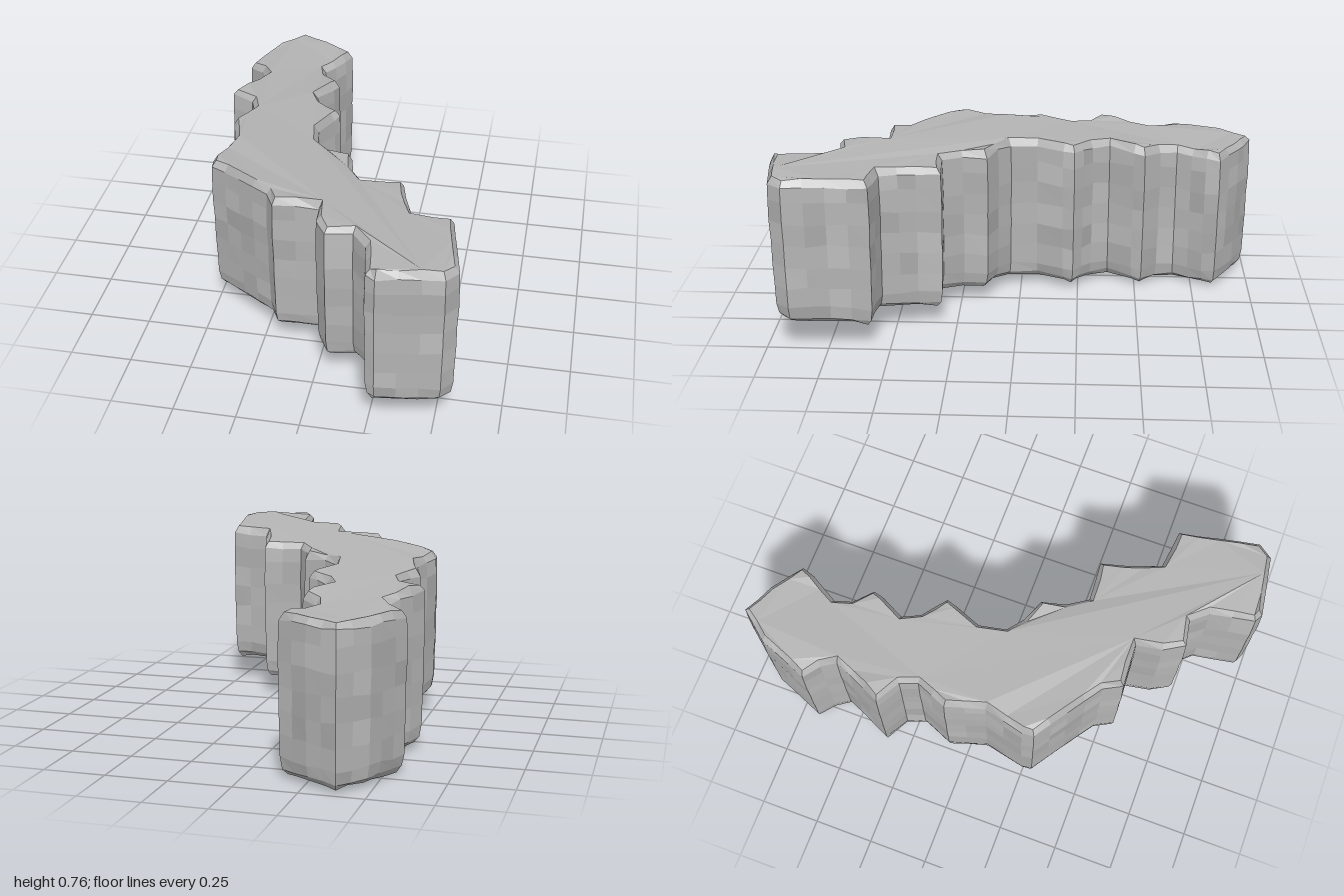
import * as THREE from 'three';

// Plan outline of the stepped rock wall, as x, z pairs
const OUTLINE = [
  -0.39, -1, -0.26, -0.94, -0.13, -0.85, -0.15, -0.79, -0.22, -0.67, -0.2, -0.6, -0.13, -0.53,
  -0.145, -0.48, -0.2, -0.38, -0.165, -0.31, -0.07, -0.23, -0.085, -0.18, -0.13, -0.07,
  -0.11, 0.04, -0.05, 0.09, 0.05, 0.13, 0.07, 0.23, 0.12, 0.31, 0.285, 0.3, 0.31, 0.4,
  0.355, 0.54, 0.515, 0.56, 0.575, 0.89, 0.53, 0.95, 0.28, 0.99, 0.24, 0.97, 0.21, 0.79,
  0.155, 0.725, 0.05, 0.745, 0, 0.66, -0.01, 0.555, -0.19, 0.565, -0.23, 0.49, -0.5, 0.3,
  -0.505, 0.25, -0.46, 0.08, -0.505, -0.08, -0.45, -0.21, -0.475, -0.28, -0.575, -0.34,
  -0.475, -0.555, -0.51, -0.61, -0.575, -0.665, -0.49, -0.88,
];

// Heights along z: [z, bottom, top]
const HEIGHTS = [
  [-1, 0.02, 0.635], [-0.66, 0.005, 0.63], [-0.5, 0.02, 0.655], [-0.3, 0.035, 0.67], [0, 0.045, 0.69],
  [0.15, 0.065, 0.695], [0.3, 0.09, 0.705], [0.57, 0.11, 0.73], [0.7, 0.135, 0.745], [1, 0.15, 0.755],
];

// Wall profile: [share of height, offset in y, inset]
const LEVELS = [
  [0, 0, 0.036], [0, 0.022, 0.016], [0, 0.07, 0.007], [0.25, 0, 0.006], [0.4, 0, 0.003],
  [0.55, 0, 0.004], [0.7, 0, 0], [0.85, 0, 0.002], [1, -0.03, 0.004], [1, 0, 0.024],
];

function heightAt(z, column) {
  let i = 1;
  while (i < HEIGHTS.length - 1 && z > HEIGHTS[i][0]) i++;
  const [a, b] = [HEIGHTS[i - 1], HEIGHTS[i]];
  const t = THREE.MathUtils.clamp((z - a[0]) / (b[0] - a[0]), 0, 1);
  return THREE.MathUtils.lerp(a[column], b[column], t);
}

function seeded(seed) {
  return () => {
    seed = (seed * 16807) % 2147483647;
    return seed / 2147483647;
  };
}

// Splits the long edges of the outline
function makeOutline() {
  const corners = [];
  for (let i = 0; i < OUTLINE.length; i += 2) corners.push(new THREE.Vector2(OUTLINE[i], OUTLINE[i + 1]));
  return corners.flatMap((p, i) => {
    const q = corners[(i + 1) % corners.length];
    const n = Math.max(1, Math.round(p.distanceTo(q) / 0.08));
    return Array.from({ length: n }, (_, k) => p.clone().lerp(q, k / n));
  });
}

function makeRings(outline, random) {
  const count = outline.length;
  return LEVELS.map(([share, offset, inset]) => outline.map((p, i) => {
    const before = outline[(i + count - 1) % count];
    const after = outline[(i + 1) % count];
    const d1 = p.clone().sub(before).normalize();
    const d2 = after.clone().sub(p).normalize();
    const d = d1.add(d2).normalize();
    const x = p.x - d.y * inset;
    const z = p.y + d.x * inset;
    const low = heightAt(z, 1);
    const high = heightAt(z, 2);
    const y = low + (high - low) * share + offset + (random() - 0.5) * 0.012;
    return new THREE.Vector3(x, Math.max(0, y), z);
  }));
}

// Gathers triangles into one geometry with a group for each material
function groupedGeometry(lists) {
  const geometry = new THREE.BufferGeometry();
  geometry.setFromPoints(lists.flat());
  let start = 0;
  lists.forEach((list, i) => {
    geometry.addGroup(start, list.length, i);
    start += list.length;
  });
  geometry.computeVertexNormals();
  return geometry;
}

function wallGeometry(rings, random) {
  const lists = [[], [], []];
  for (let r = 0; r < rings.length - 1; r++) {
    for (let i = 0; i < rings[r].length; i++) {
      const j = (i + 1) % rings[r].length;
      const [a, b, c, d] = [rings[r][i], rings[r][j], rings[r + 1][j], rings[r + 1][i]];
      const pick = random();
      lists[pick < 0.6 ? 0 : pick < 0.8 ? 1 : 2].push(a, d, c, a, c, b);
    }
  }
  return groupedGeometry(lists);
}

function capGeometry(ring, up) {
  const flat = ring.map((v) => new THREE.Vector2(v.x, v.z));
  const points = [];
  for (const [i, j, k] of THREE.ShapeUtils.triangulateShape(flat, [])) {
    const [a, b, c] = [ring[i], ring[j], ring[k]];
    const normalY = (b.z - a.z) * (c.x - a.x) - (b.x - a.x) * (c.z - a.z);
    points.push(...((normalY > 0) === up ? [a, b, c] : [a, c, b]));
  }
  const geometry = new THREE.BufferGeometry().setFromPoints(points);
  geometry.computeVertexNormals();
  return geometry;
}

export function createModel() {
  const stone = (name, color) => {
    const material = new THREE.MeshStandardMaterial({ color, flatShading: true });
    material.name = name;
    return material;
  };
  const greys = [stone('stoneGrey', 0xb4b4b4), stone('darkStone', 0xacacac), stone('paleStone', 0xbcbcbc)];
  const random = seeded(41);
  const rings = makeRings(makeOutline(), random);
  const group = new THREE.Group();
  group.name = 'steppedRockWall';
  const add = (name, geometry, material) => {
    const mesh = new THREE.Mesh(geometry, material);
    mesh.name = name;
    group.add(mesh);
  };
  add('rockSides', wallGeometry(rings, random), greys);
  add('rockTop', capGeometry(rings[rings.length - 1], true), greys[0]);
  add('rockUnderside', capGeometry(rings[0], false), greys[0]);
  return group;
}
